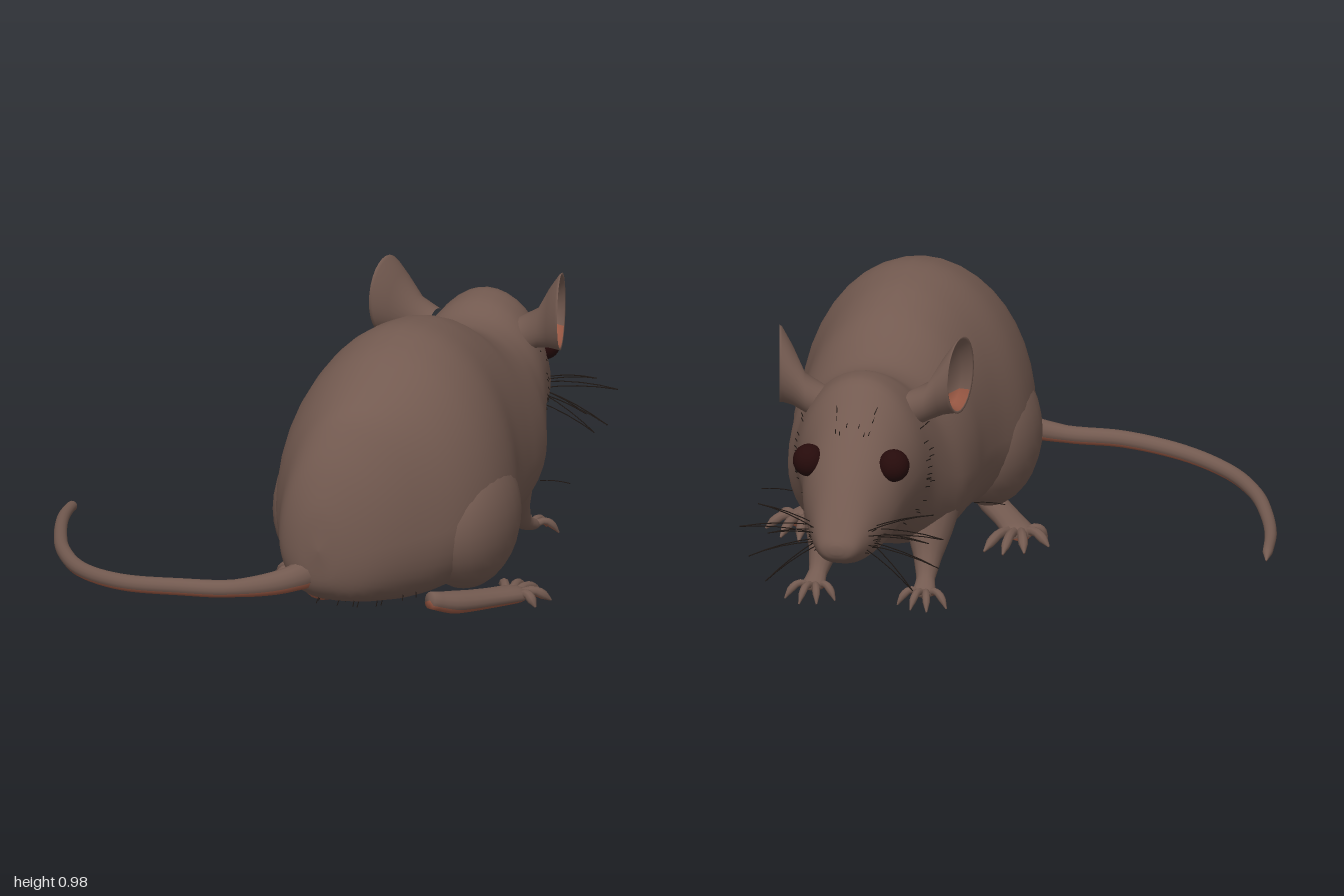
import * as THREE from 'three';

const mat = (name, color, side = THREE.FrontSide) => {
  const m = new THREE.MeshStandardMaterial({ color, side });
  m.name = name;
  return m;
};
const fur = mat('brown fur', 0x735a50);
const pink = mat('pink skin', 0x9c5a45);
const eyeDark = mat('dark eye', 0x260b0b);
const hairDark = mat('dark hair', 0x211915, THREE.DoubleSide);
const V = (x, y, z) => new THREE.Vector3(x, y, z);
const CX = 0.415; // body axis; the tail swings out to -x

// Skin a list of closed rings; isPink(i, j) picks the second material
function loft(name, rings, isPink = () => false) {
  const n = rings[0].length, sets = [[], []];
  for (let i = 0; i < rings.length - 1; i++) for (let j = 0; j < n; j++) {
    const a = i * n + j, b = i * n + (j + 1) % n;
    sets[isPink(i, j) ? 1 : 0].push(a, a + n, b, b, a + n, b + n);
  }
  const g = new THREE.BufferGeometry().setFromPoints(rings.flat());
  g.setIndex([...sets[0], ...sets[1]]);
  g.addGroup(0, sets[0].length, 0);
  g.addGroup(sets[0].length, sets[1].length, 1);
  g.computeVertexNormals();
  const mesh = new THREE.Mesh(g, [fur, pink]);
  mesh.name = name;
  return mesh;
}

// Tapered limb along a smooth path of [x, y, z, width, height], pink underneath
function limb(name, pts, steps, n, under = true) {
  const curve = new THREE.CatmullRomCurve3(pts.map(p => V(p[0], p[1], p[2])));
  const rings = [];
  for (let i = 0; i <= steps; i++) {
    const t = i / steps, f = t * (pts.length - 1), k = Math.min(Math.floor(f), pts.length - 2);
    const rx = THREE.MathUtils.lerp(pts[k][3], pts[k + 1][3], f - k);
    const ry = THREE.MathUtils.lerp(pts[k][4], pts[k + 1][4], f - k);
    const c = curve.getPoint(t), d = curve.getTangent(t);
    const side = d.clone().cross(V(0, 1, 0)).normalize(), up = side.clone().cross(d);
    rings.push(Array.from({ length: n }, (_, j) => {
      const a = j / n * Math.PI * 2;
      return c.clone().addScaledVector(side, rx * Math.cos(a)).addScaledVector(up, ry * Math.sin(a));
    }));
  }
  rings.unshift(rings[0].map(() => curve.getPoint(0)));
  rings.push(rings[0].map(() => curve.getPoint(1)));
  return loft(name, rings, (i, j) => under && Math.sin((j + 0.5) / n * Math.PI * 2) < -0.55);
}

// Body sections, rump to nose: z, centre x, half width, top, bottom, widest height
const sections = [
  [0.935, 0.30, 0.02, 0.38, 0.32, 0.35], [0.92, 0.30, 0.09, 0.50, 0.22, 0.34],
  [0.87, 0.32, 0.18, 0.65, 0.16, 0.36], [0.78, 0.36, 0.255, 0.80, 0.13, 0.38],
  [0.65, 0.395, 0.345, 0.89, 0.11, 0.40], [0.50, 0.41, 0.395, 0.965, 0.11, 0.40],
  [0.33, 0.415, 0.40, 1.0, 0.12, 0.40], [0.15, 0.42, 0.355, 0.98, 0.13, 0.42],
  [0.00, 0.425, 0.335, 0.93, 0.13, 0.43], [-0.12, 0.425, 0.33, 0.865, 0.135, 0.43],
  [-0.24, 0.425, 0.315, 0.82, 0.16, 0.43], [-0.34, 0.425, 0.28, 0.82, 0.21, 0.46],
  [-0.45, 0.425, 0.245, 0.86, 0.27, 0.53], [-0.56, 0.42, 0.22, 0.865, 0.31, 0.55],
  [-0.66, 0.415, 0.19, 0.79, 0.31, 0.52], [-0.76, 0.415, 0.165, 0.70, 0.30, 0.48],
  [-0.86, 0.415, 0.125, 0.595, 0.30, 0.43], [-0.94, 0.415, 0.09, 0.49, 0.32, 0.40],
  [-0.985, 0.415, 0.06, 0.425, 0.345, 0.385], [-1.0, 0.415, 0.02, 0.40, 0.37, 0.385],
];
const along = [0, 3].map(k => new THREE.CatmullRomCurve3(sections.map(s => V(s[k], s[k + 1], s[k + 2]))));
function surface(t, a) {
  const p = along[0].getPoint(t), q = along[1].getPoint(t);
  const c = Math.cos(a), s = Math.sin(a);
  const x = p.y + p.z * Math.sign(c) * Math.abs(c) ** (s > 0 ? 1 : 0.75);
  return V(x, q.z + s * (s > 0 ? q.x - q.z : q.z - q.y), p.x);
}

function ball(name, material, x, y, z, rx, ry, rz) {
  const m = new THREE.Mesh(new THREE.SphereGeometry(1, 24, 16), material);
  m.position.set(x, y, z);
  m.scale.set(rx, ry, rz);
  m.name = name;
  return m;
}

function hair(name, from, to, r = 0.003) {
  const curve = new THREE.QuadraticBezierCurve3(from, from.clone().lerp(to, 0.5).add(V(0, from.distanceTo(to) * 0.08, 0)), to);
  const m = new THREE.Mesh(new THREE.TubeGeometry(curve, 4, r, 3), hairDark);
  m.name = name;
  return m;
}

// Cupped ear: stalk, outer shell, rim, then the hollow [offset, y, z, rz, ry]
function ear(s) {
  const rows = [
    [0.15, 0.73, -0.46, 0.06, 0.07], [0.22, 0.77, -0.46, 0.06, 0.07], [0.27, 0.82, -0.43, 0.09, 0.105],
    [0.31, 0.85, -0.412, 0.113, 0.132], [0.32, 0.853, -0.412, 0.116, 0.137], [0.318, 0.853, -0.412, 0.107, 0.128],
    [0.29, 0.845, -0.415, 0.085, 0.10], [0.265, 0.815, -0.43, 0.05, 0.065], [0.255, 0.80, -0.44, 0, 0]];
  const n = 28;
  return loft('ear', rows.map(([o, y, z, rz, ry]) => Array.from({ length: n }, (_, j) => {
    const a = j / n * Math.PI * 2, dz = s * rz * Math.cos(a);
    return V(CX + s * (o + 0.2 * dz), y + ry * Math.sin(a), z + dz);
  })), (i, j) => i > 4 && Math.sin((j + 0.5) / n * Math.PI * 2) < -0.65);
}

function paw(name, s, base, tips, r) {
  const g = new THREE.Group();
  g.name = name;
  const [o, y, z] = base;
  tips.forEach(([to, tz], i) => {
    const k = (i - (tips.length - 1) / 2) * r * 0.7;
    const at = (f, h, w) => [CX + s * (o + k + (to - o - k) * f), h, z + (tz - z) * f, w, w];
    g.add(limb('toe', [at(0, y, r), at(0.45, y + 0.012, r * 0.9), at(0.75, y - 0.005, r), at(1, 0.022, r * 0.2)], 7, 8));
  });
  return g;
}

export function createModel() {
  const root = new THREE.Group();
  root.name = 'mouse';

  // Body and head in one skin
  const N = 40, M = 76, rings = [];
  for (let i = 0; i <= M; i++) rings.push(Array.from({ length: N }, (_, j) => surface(i / M, j / N * Math.PI * 2)));
  rings.unshift(rings[0].map(() => V(0.30, 0.35, 0.937)));
  rings.push(rings[0].map(() => V(CX, 0.385, -1)));
  root.add(loft('body', rings));
  root.add(ball('nose', pink, CX, 0.39, -0.97, 0.034, 0.026, 0.03));

  // Tail sweeping round to the side
  root.add(limb('tail', [
    [0.32, 0.30, 0.82, 0.07, 0.08], [0.20, 0.235, 0.91, 0.042, 0.046], [0.0, 0.19, 0.95, 0.031, 0.031],
    [-0.2, 0.18, 0.965, 0.03, 0.03], [-0.42, 0.16, 0.92, 0.029, 0.029], [-0.61, 0.145, 0.79, 0.027, 0.027],
    [-0.74, 0.14, 0.6, 0.025, 0.025], [-0.82, 0.135, 0.4, 0.023, 0.023], [-0.875, 0.13, 0.2, 0.021, 0.021],
    [-0.895, 0.12, 0.05, 0.018, 0.018], [-0.9, 0.105, 0.0, 0.003, 0.003]], 60, 14));

  for (const s of [-1, 1]) {
    const X = o => CX + s * o;
    root.add(ear(s));
    root.add(ball('eye', eyeDark, X(0.15), 0.62, -0.74, 0.055, 0.057, 0.055));

    // Hind leg: thigh, long foot, spread toes
    root.add(ball('thigh', fur, X(0.26), 0.36, 0.42, 0.172, 0.25, 0.27));
    root.add(limb('hindFoot', [
      [X(0.18), 0.10, 0.60, 0.03, 0.03], [X(0.24), 0.075, 0.52, 0.05, 0.04],
      [X(0.32), 0.06, 0.4, 0.05, 0.035], [X(0.385), 0.05, 0.29, 0.058, 0.03],
      [X(0.40), 0.045, 0.26, 0.03, 0.02]], 14, 14));
    root.add(paw('hindToes', s, [0.385, 0.05, 0.3],
      [[0.29, 0.14], [0.36, 0.12], [0.43, 0.15], [0.50, 0.235], [0.475, 0.33]], 0.018));

    // Front leg and paw
    root.add(limb('frontLeg', [
      [X(0.17), 0.36, -0.2, 0.12, 0.12], [X(0.18), 0.24, -0.26, 0.085, 0.09],
      [X(0.185), 0.15, -0.32, 0.05, 0.055], [X(0.19), 0.09, -0.38, 0.032, 0.03],
      [X(0.195), 0.06, -0.44, 0.042, 0.022], [X(0.195), 0.055, -0.46, 0.02, 0.01]], 18, 14, false));
    root.add(paw('frontToes', s, [0.195, 0.058, -0.43],
      [[0.11, -0.48], [0.165, -0.53], [0.225, -0.54], [0.285, -0.49]], 0.014));

    // Whiskers and long flank hair
    for (let i = 0; i < 10; i++) {
      const row = i % 5, out = 0.26 + 0.1 * ((i * 3) % 5) / 4;
      root.add(hair('whisker', V(X(0.09), 0.37 + row * 0.016, -0.92 + 0.04 * (i % 3)),
        V(X(out), 0.24 + row * 0.06, -0.95 + 0.04 * ((i * 2) % 5)), 0.0022));
    }
    root.add(hair('flankHair', V(X(0.32), 0.31, -0.18), V(X(0.43), 0.31, -0.18), 0.002));
  }

  // Short coarse hairs on neck, brow and belly
  let seed = 7;
  const rnd = () => (seed = (seed * 16807) % 2147483647) / 2147483647;
  const tuft = (name, count, t0, t1, a0, a1) => {
    for (let i = 0; i < count; i++) {
      const t = t0 + (t1 - t0) * rnd(), a = a0 + (a1 - a0) * rnd();
      for (const ang of [a, Math.PI - a]) {
        const p = surface(t, ang);
        root.add(hair(name, p, p.clone().add(V(Math.cos(ang) * 0.012, Math.sin(ang) * 0.015, 0.022)), 0.002));
      }
    }
  };
  tuft('neckHair', 16, 0.64, 0.67, -1.1, 0.6);
  tuft('browHair', 6, 0.73, 0.78, 1.1, 1.5);
  tuft('cheekHair', 8, 0.83, 0.89, -0.6, 0.2);
  tuft('bellyHair', 26, 0.12, 0.62, -1.5, -0.95);
  return root;
}
